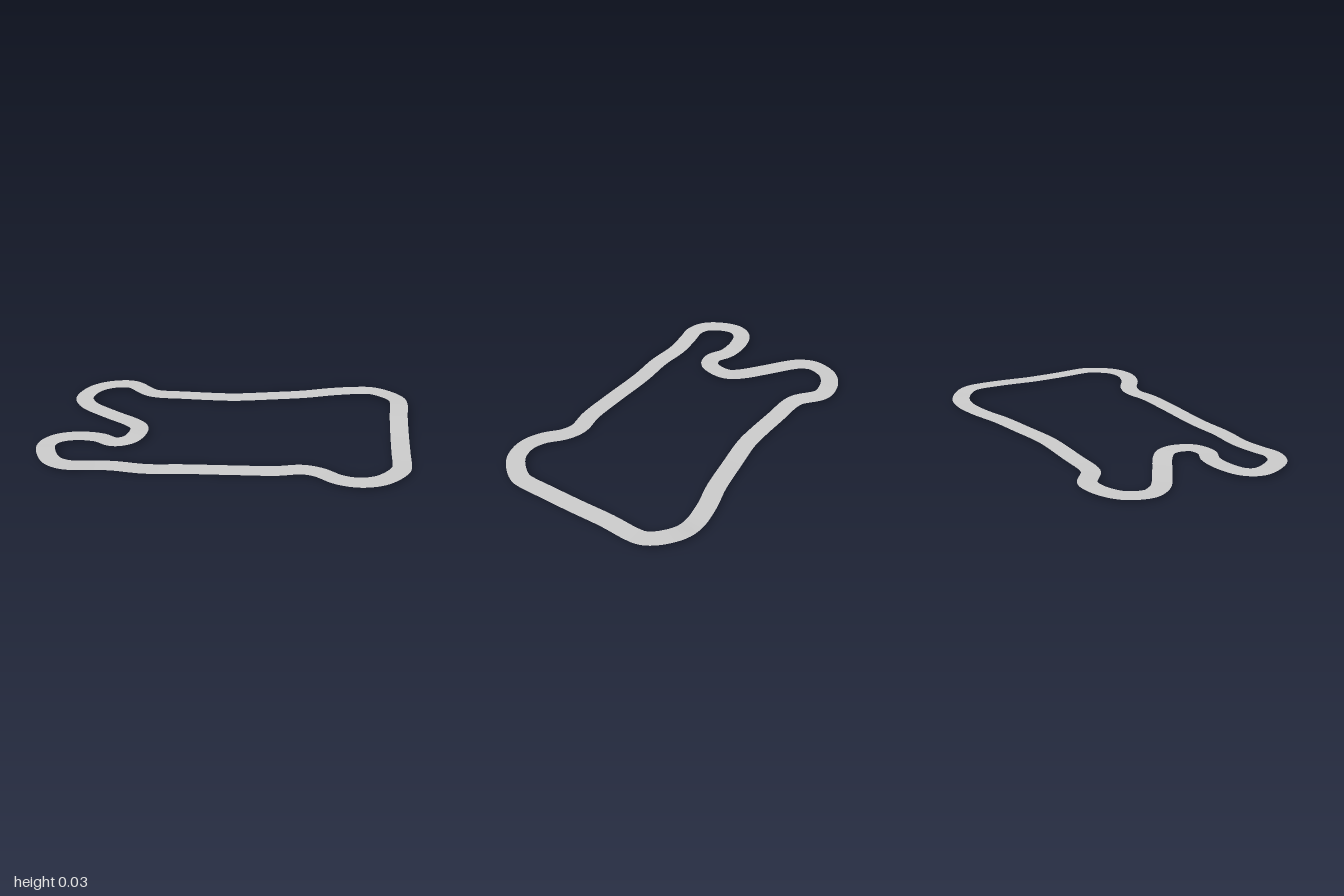
import * as THREE from 'three';

// Centreline of the circuit as [x, y, z], running clockwise seen from above
const CENTRELINE = [
  [-0.455, 0.011, -0.403], [-0.3, 0.01, -0.401], [-0.12, 0.01, -0.398], [0, 0.01, -0.402],
  [0.2, 0.01, -0.437], [0.4, 0.011, -0.476], [0.56, 0.012, -0.523], [0.7, 0.015, -0.547],
  [0.795, 0.022, -0.537], [0.895, 0.026, -0.473], [0.937, 0.028, -0.415], [0.945, 0.029, -0.36],
  [0.936, 0.027, -0.2], [0.931, 0.017, 0], [0.928, 0.013, 0.2], [0.927, 0.013, 0.335],
  [0.92, 0.014, 0.378], [0.87, 0.016, 0.455], [0.8, 0.018, 0.514], [0.7, 0.018, 0.538],
  [0.6, 0.015, 0.512], [0.5, 0.012, 0.442], [0.415, 0.01, 0.418], [0.28, 0.009, 0.443],
  [0.1, 0.007, 0.45], [-0.2, 0.002, 0.455], [-0.39, 0.002, 0.47], [-0.57, 0.006, 0.46],
  [-0.7, 0.011, 0.475], [-0.8, 0.016, 0.489], [-0.88, 0.018, 0.456], [-0.938, 0.02, 0.36],
  [-0.95, 0.02, 0.28], [-0.912, 0.02, 0.217], [-0.815, 0.02, 0.178], [-0.69, 0.017, 0.179],
  [-0.6, 0.015, 0.219], [-0.522, 0.018, 0.19], [-0.487, 0.021, 0.1], [-0.497, 0.02, 0.035],
  [-0.545, 0.017, -0.017], [-0.67, 0.012, -0.104], [-0.8, 0.011, -0.195], [-0.84, 0.012, -0.235],
  [-0.873, 0.013, -0.31], [-0.837, 0.016, -0.423], [-0.755, 0.018, -0.487], [-0.65, 0.018, -0.51],
  [-0.605, 0.017, -0.497], [-0.51, 0.013, -0.42],
];
const HALF_WIDTH = 0.05;
const STEPS = 360;

// Flat ribbon swept along a closed path, each cross-section level
function ribbonGeometry(path, halfWidth, steps) {
  const positions = [];
  const index = [];
  for (let i = 0; i < steps; i++) {
    const p = path.getPointAt(i / steps);
    const t = path.getTangentAt(i / steps).setY(0).normalize();
    for (const side of [-1, 1]) {
      positions.push(p.x - side * t.z * halfWidth, p.y, p.z + side * t.x * halfWidth);
    }
    const a = 2 * i;
    const b = 2 * ((i + 1) % steps);
    index.push(a, a + 1, b, b, a + 1, b + 1);
  }
  const geometry = new THREE.BufferGeometry();
  geometry.setAttribute('position', new THREE.Float32BufferAttribute(positions, 3));
  geometry.setIndex(index);
  geometry.computeVertexNormals();
  return geometry;
}

export function createModel() {
  const group = new THREE.Group();
  group.name = 'raceCircuit';
  const path = new THREE.CatmullRomCurve3(CENTRELINE.map((p) => new THREE.Vector3(...p)), true);
  path.arcLengthDivisions = 1000;

  // Road surface, an open sheet
  const road = new THREE.Mesh(
    ribbonGeometry(path, HALF_WIDTH, STEPS),
    new THREE.MeshStandardMaterial({ color: 0xcccccc, side: THREE.DoubleSide }),
  );
  road.name = 'roadSurface';

  // Rest the lowest stretch on the ground
  road.geometry.computeBoundingBox();
  road.geometry.translate(0, -road.geometry.boundingBox.min.y, 0);
  group.add(road);
  return group;
}
